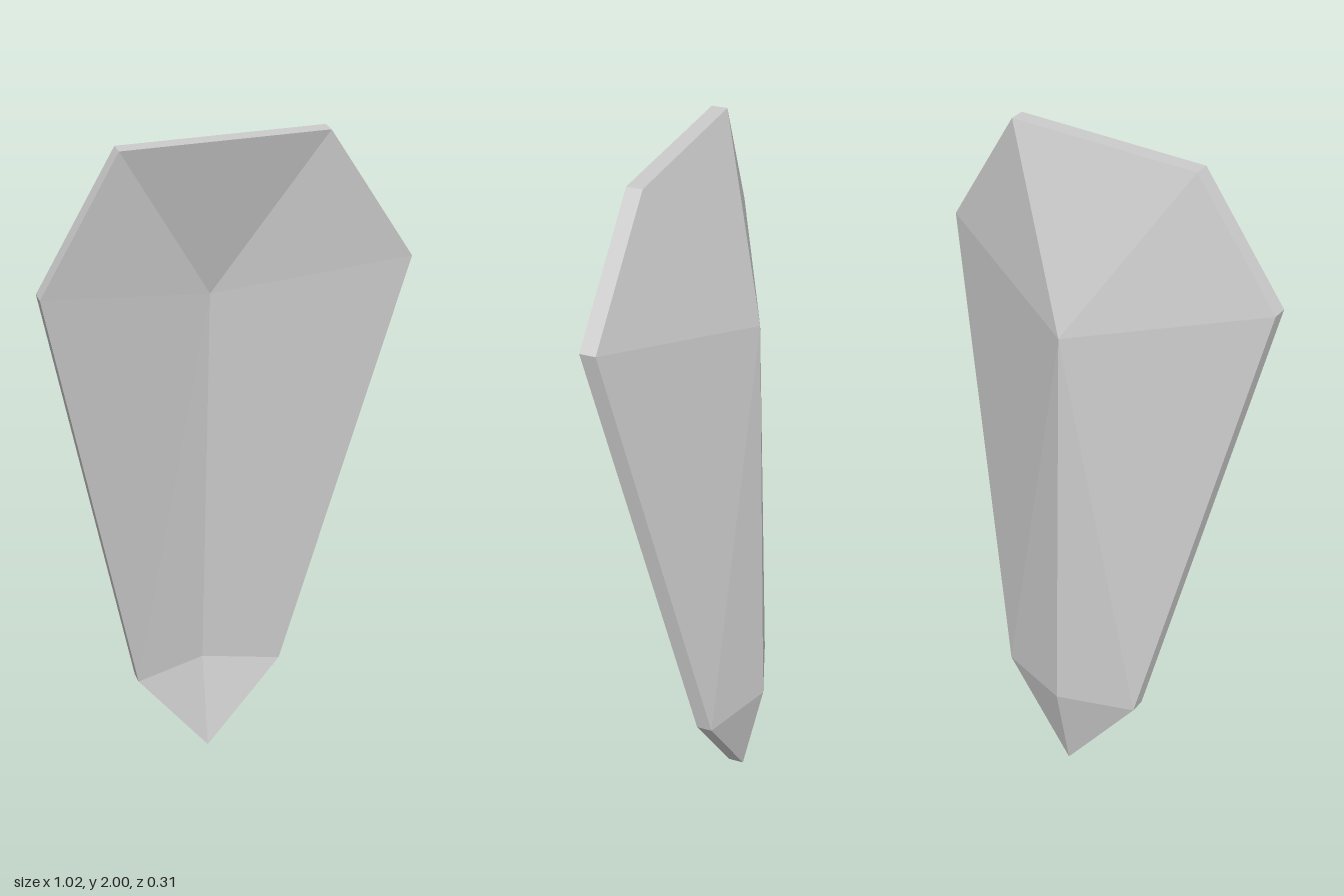
import * as THREE from 'three';

// Outline, counter-clockwise from the front: x, y, z of the back edge
const half = [[0.22, 0.285, -0.08], [0.512, 1.635, 0.112], [0.285, 2, 0.076]];
const outline = [
  [0, 0, -0.095],
  ...half,
  ...half.map(([x, y, z]) => [-x, y, z]).reverse(),
];
const RIM = 0.045;

// Corners 0-6 are the outline, 7 and 8 the lower and upper ends of the spine
const facets = [
  [0, 1, 7], [1, 8, 7], [1, 2, 8], [2, 3, 8], [3, 4, 8],
  [4, 5, 8], [5, 6, 8], [6, 7, 8], [6, 0, 7],
];

function facetMesh(name, points, faces, material) {
  const geometry = new THREE.BufferGeometry();
  const corners = faces.flat().flatMap((i) => points[i]);
  geometry.setAttribute('position', new THREE.Float32BufferAttribute(corners, 3));
  geometry.computeVertexNormals();
  const mesh = new THREE.Mesh(geometry, material);
  mesh.name = name;
  return mesh;
}

export function createModel() {
  const group = new THREE.Group();
  group.name = 'facetedShard';
  const grey = new THREE.MeshStandardMaterial({ color: 0xcccccc });
  grey.name = 'light grey';

  const frontEdge = outline.map(([x, y, z]) => [x, y, z + RIM]);

  // Hollow front, folded along the spine
  const front = [...frontEdge, [0, 0.29, -0.104], [0, 1.515, -0.024]];
  group.add(facetMesh('hollowFront', front, facets, grey));

  // Ridged back
  const back = [...outline, [0, 0.29, -0.158], [0, 1.52, -0.133]];
  group.add(facetMesh('ridgedBack', back, facets.map(([a, b, c]) => [a, c, b]), grey));

  // Narrow rim joining the two
  const n = outline.length;
  const rimFaces = outline.flatMap((_, i) => {
    const j = (i + 1) % n;
    return [[i, n + i, n + j], [i, n + j, j]];
  });
  group.add(facetMesh('rim', [...frontEdge, ...outline], rimFaces, grey));

  return group;
}
